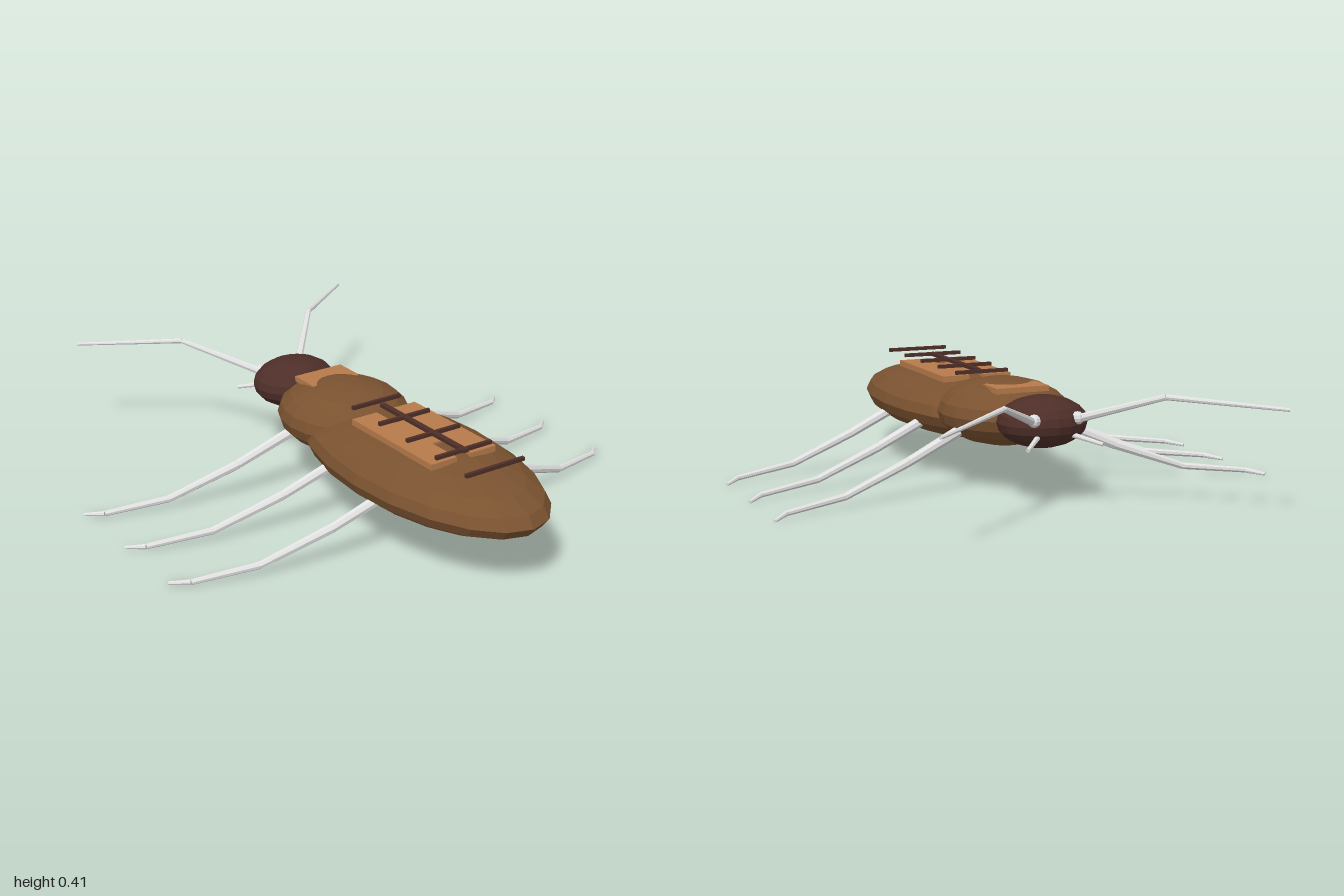
import * as THREE from 'three';

const paint = (name, color) => {
  const m = new THREE.MeshStandardMaterial({ color, flatShading: true });
  m.name = name;
  return m;
};

export function createModel() {
  const model = new THREE.Group();
  model.name = 'insect';
  const brown = paint('shell brown', 0x7a5230);
  const tan = paint('plate tan', 0xb67a4a);
  const maroon = paint('dark maroon', 0x4e2e28);
  const silver = paint('limb silver', 0xe0e0e0);

  const add = (parent, name, geometry, material, x = 0, y = 0, z = 0) => {
    const mesh = new THREE.Mesh(geometry, material);
    mesh.name = name;
    mesh.position.set(x, y, z);
    parent.add(mesh);
    return mesh;
  };
  const ellipsoid = (name, material, radii, centre) =>
    add(model, name, new THREE.SphereGeometry(1, 20, 10).scale(...radii), material, ...centre);

  // Body segments
  ellipsoid('abdomen', brown, [0.287, 0.117, 0.597], [0, 0.242, 0.4]);
  ellipsoid('thorax', brown, [0.234, 0.12, 0.26], [0, 0.27, -0.07]);
  ellipsoid('head', maroon, [0.16, 0.09, 0.14], [0, 0.285, -0.4]);

  // Pale back plates
  add(model, 'thoraxPlate', new THREE.BoxGeometry(0.2, 0.02, 0.12), tan, 0, 0.368, -0.18);
  for (const s of [-1, 1]) {
    add(model, 'abdomenPlate', new THREE.BoxGeometry(0.105, 0.022, 0.455), tan, s * 0.0825, 0.353, 0.4025);
  }
  add(model, 'abdomenPlateCentre', new THREE.BoxGeometry(0.06, 0.022, 0.21), tan, 0, 0.353, 0.39);

  // Raised dark markings: a spine and five cross bars
  add(model, 'spineBar', new THREE.BoxGeometry(0.02, 0.012, 0.475), maroon, 0, 0.382, 0.4025);
  for (let i = 0; i < 5; i++) {
    add(model, 'crossBar', new THREE.BoxGeometry(0.205 + i * 0.009, 0.013, 0.013), maroon, 0, 0.382, 0.131 + i * 0.165);
  }

  // Tapering straight limb sections through a list of points
  const limb = (name, points, radii, side, dz = 0) => {
    const group = new THREE.Group();
    group.name = name;
    const p = points.map(([x, y, z]) => new THREE.Vector3(x * side, y, z + dz));
    for (let i = 0; i + 1 < p.length; i++) {
      const d = p[i + 1].clone().sub(p[i]);
      const mesh = add(group, name + 'Segment', new THREE.CylinderGeometry(radii[i + 1], radii[i], d.length(), 8), silver);
      mesh.position.copy(p[i]).addScaledVector(d, 0.5);
      mesh.quaternion.setFromUnitVectors(new THREE.Vector3(0, 1, 0), d.normalize());
    }
    model.add(group);
  };

  for (const s of [-1, 1]) {
    // Three legs on each side
    for (let i = 0; i < 3; i++) {
      limb('leg', [[0.2, 0.217, 0.475], [0.4, 0.13, 0.44], [0.65, 0.042, 0.383], [0.875, 0.02, 0.318], [0.93, 0.01, 0.265]],
        [0.02, 0.017, 0.013, 0.01, 0.006], s, (i - 2) * 0.303);
    }
    // Antennae with round sockets, and short mouth palps
    add(model, 'antennaSocket', new THREE.SphereGeometry(0.023, 8, 6), silver, s * 0.08, 0.308, -0.51);
    limb('antenna', [[0.085, 0.305, -0.505], [0.29, 0.4, -0.74], [0.605, 0.376, -0.993]], [0.015, 0.01, 0.006], s);
    limb('palp', [[0.06, 0.252, -0.5], [0.138, 0.226, -0.588]], [0.01, 0.007], s);
  }
  return model;
}
